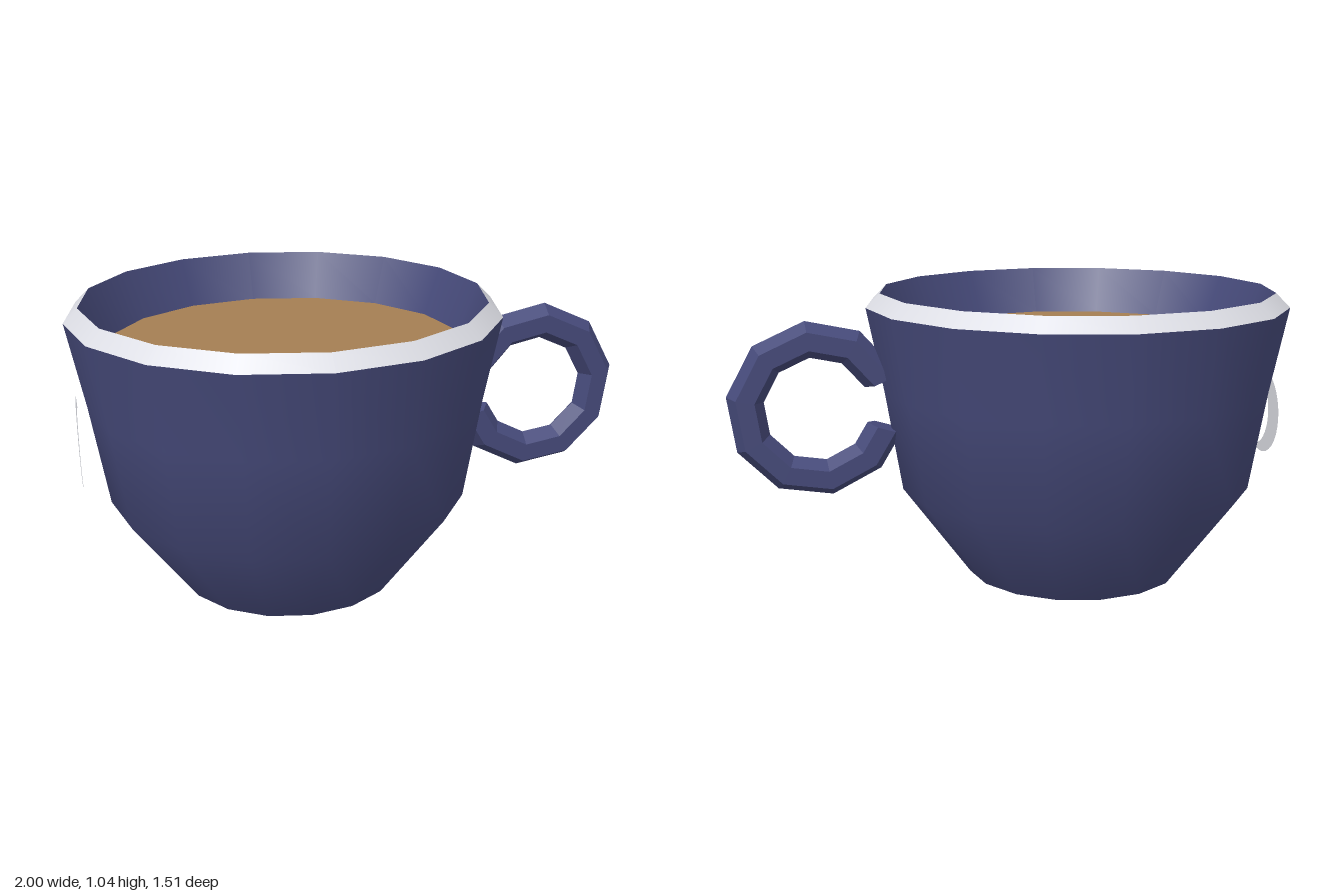
import * as THREE from 'three';

const flat = (name, color, extra = {}) => Object.assign(new THREE.MeshStandardMaterial({ color, ...extra }), { name });

// Six-sided tube swept around a ring through the given angles, with end caps
function sweptRing(angles, ringRadius, tubeRadius) {
  const sides = 6, pos = [];
  const point = (i, k) => {
    const a = THREE.MathUtils.degToRad(angles[i]);
    const t = (k % sides) * Math.PI * 2 / sides;
    const r = ringRadius + tubeRadius * Math.cos(t);
    return [r * Math.cos(a), r * Math.sin(a), tubeRadius * Math.sin(t)];
  };
  const tri = (a, b, c) => pos.push(...a, ...b, ...c);
  const last = angles.length - 1;
  for (let i = 0; i < last; i++) {
    for (let k = 0; k < sides; k++) {
      const a = point(i, k), b = point(i + 1, k), c = point(i + 1, k + 1), d = point(i, k + 1);
      tri(a, b, c);
      tri(a, c, d);
    }
  }
  for (let k = 1; k < sides - 1; k++) {
    tri(point(0, 0), point(0, k), point(0, k + 1));
    tri(point(last, 0), point(last, k + 1), point(last, k));
  }
  const geo = new THREE.BufferGeometry();
  geo.setAttribute('position', new THREE.Float32BufferAttribute(pos, 3));
  geo.computeVertexNormals();
  return geo;
}

export function createModel() {
  const model = new THREE.Group();
  model.name = 'cup';
  const sides = 16, axisX = -0.245;

  const blue = flat('blueGlaze', 0x464a7a);
  const white = flat('whiteGlaze', 0xdcdde4);
  const whitePaint = flat('whitePaint', 0xdcdde4, { side: THREE.DoubleSide });
  const brown = flat('coffee', 0xa47e52);

  const add = (name, geo, mat, x = axisX, y = 0, z = 0) => {
    const mesh = new THREE.Mesh(geo, mat);
    mesh.name = name;
    mesh.position.set(x, y, z);
    model.add(mesh);
    return mesh;
  };
  const lathe = (...pts) => new THREE.LatheGeometry(pts.map(p => new THREE.Vector2(...p)), sides);

  // Body, rim and inner wall
  add('outerWall', lathe([0.39, 0], [0.635, 0.33], [0.695, 0.69], [0.755, 0.99]), blue);
  add('rim', lathe([0.755, 0.99], [0.705, 1.04]), white);
  add('innerWall', lathe([0.705, 1.04], [0.635, 0.87]), blue);
  add('base', new THREE.CircleGeometry(0.39, sides).rotateX(Math.PI / 2), blue);
  add('coffeeSurface', new THREE.CircleGeometry(0.635, sides).rotateX(-Math.PI / 2), brown, axisX, 0.87);

  // Handle
  const handleAngles = [-163, -135, -99, -63, -27, 10, 47, 84, 120, 157];
  add('handle', sweptRing(handleAngles, 0.25, 0.065), blue, 0.69, 0.638);

  // Painted crescent on the side opposite the handle
  const tipOut = Math.atan2(0.145, 0.066), tipIn = Math.atan2(0.145, -0.016);
  const crescent = new THREE.Shape();
  crescent.absarc(0, 0, 0.16, tipOut, Math.PI * 2 - tipOut, false);
  crescent.absarc(0.08, 0, 0.146, Math.PI * 2 - tipIn, tipIn, true);
  add('crescent', new THREE.ShapeGeometry(crescent, 10), whitePaint, axisX - 0.73, 0.565)
    .rotation.y = -Math.PI / 2;

  return model;
}
